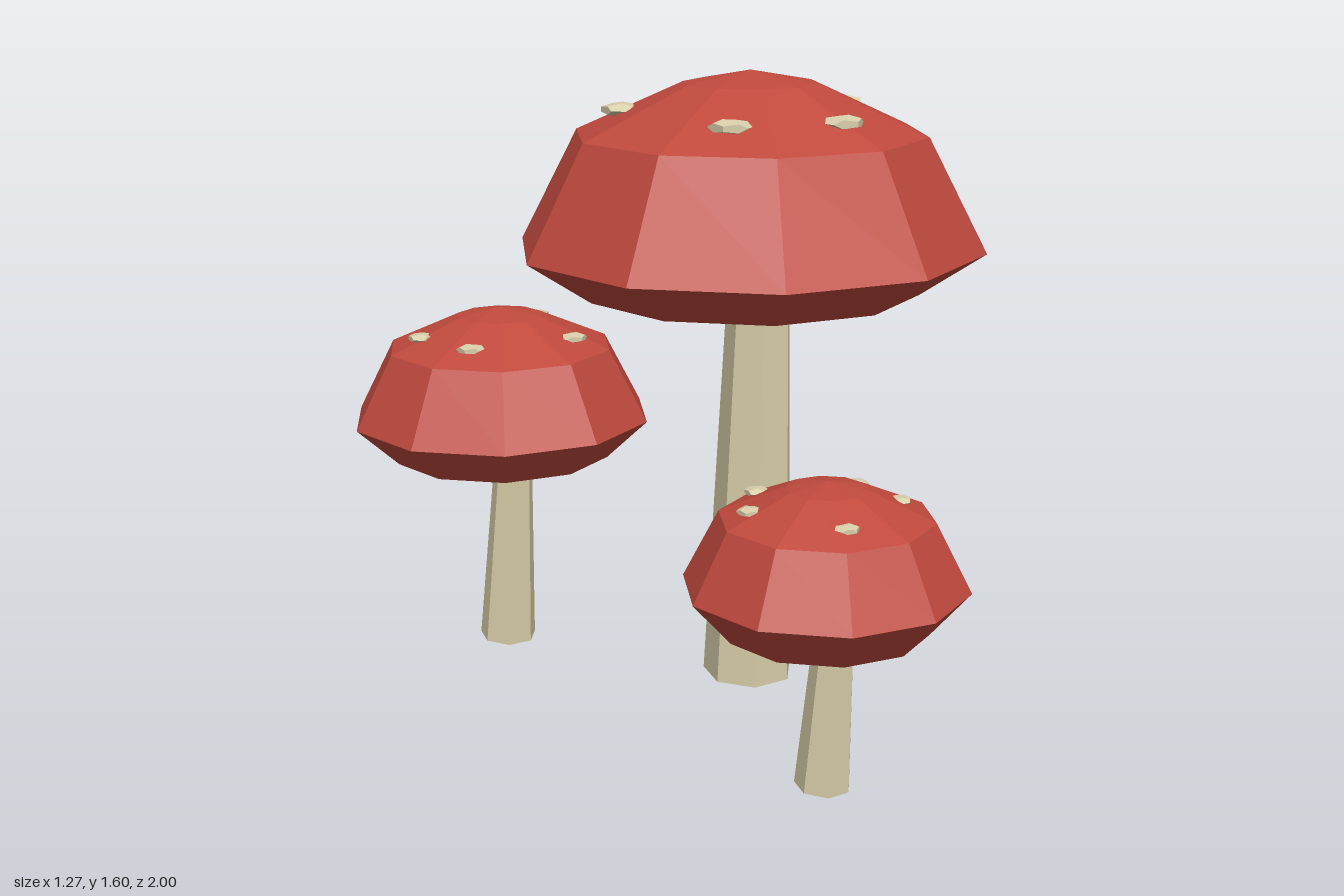
import * as THREE from 'three';

const red = new THREE.MeshStandardMaterial({ color: 0xc0493d, flatShading: true });
red.name = 'capRed';
const cream = new THREE.MeshStandardMaterial({ color: 0xd9ceaa, flatShading: true });
cream.name = 'stemCream';

function add(parent, name, geometry, material) {
  const mesh = new THREE.Mesh(geometry, material);
  mesh.name = name;
  parent.add(mesh);
  return mesh;
}

// Ten-sided faceted cap: flat underside, flared rim, low dome
function capGeometry(r, [under, rim, shoulder, top]) {
  const profile = [
    [0, under], [0.723 * r, under], [r, rim], [0.75 * r, shoulder],
    [0.285 * r, top - 0.2 * (top - shoulder)], [0, top],
  ].map(([x, y]) => new THREE.Vector2(x, y));
  return new THREE.LatheGeometry(profile, 10);
}

function mushroom({ name, x, z, r, levels, stemR, stemTopR, lean, spots, spotY }) {
  const group = new THREE.Group();
  group.name = name;
  group.position.set(x, 0, z);

  // Seven-sided tapering stem, leaning slightly forward
  const h = levels[0] + 0.01;
  const stemGeo = new THREE.CylinderGeometry(stemTopR, stemR, h, 7, 1, false, THREE.MathUtils.degToRad(16.5));
  stemGeo.translate(0, h / 2, 0);
  const stem = add(group, 'stem', stemGeo, cream);
  stem.rotation.x = lean;
  stem.position.y = stemR * Math.sin(lean);

  add(group, 'cap', capGeometry(r, levels), red);

  // Flattened faceted spots set in a ring on the dome
  spots.forEach(([sx, sz], i) => {
    const spot = add(group, 'spot', new THREE.DodecahedronGeometry(0.092 * r), cream);
    spot.position.set(sx, spotY, sz);
    spot.scale.y = 0.33;
    spot.rotation.y = i * 1.3;
  });
  return group;
}

export function createModel() {
  const model = new THREE.Group();
  model.name = 'mushroomCluster';
  model.add(
    mushroom({
      name: 'largeMushroom', x: 0.064, z: 0.045, r: 0.6,
      levels: [1.05, 1.16, 1.447, 1.605], stemR: 0.12, stemTopR: 0.082, lean: 0.035,
      spots: [[0, 0.318], [0.315, 0.022], [0.057, -0.318], [-0.218, -0.24], [-0.25, 0.192]], spotY: 1.503,
    }),
    mushroom({
      name: 'smallMushroom', x: -0.288, z: 0.666, r: 0.334,
      levels: [0.4, 0.505, 0.667, 0.752], stemR: 0.068, stemTopR: 0.047, lean: 0.08,
      spots: [[-0.091, 0.15], [0.142, 0.092], [0.163, -0.06], [-0.049, -0.178], [-0.163, -0.083]], spotY: 0.697,
    }),
    mushroom({
      name: 'mediumMushroom', x: -0.255, z: -0.595, r: 0.405,
      levels: [0.54, 0.645, 0.84, 0.945], stemR: 0.077, stemTopR: 0.051, lean: 0.087,
      spots: [[0.098, 0.195], [0.198, -0.092], [0.057, -0.212], [-0.202, -0.077], [-0.182, 0.115]], spotY: 0.879,
    }),
  );
  return model;
}
